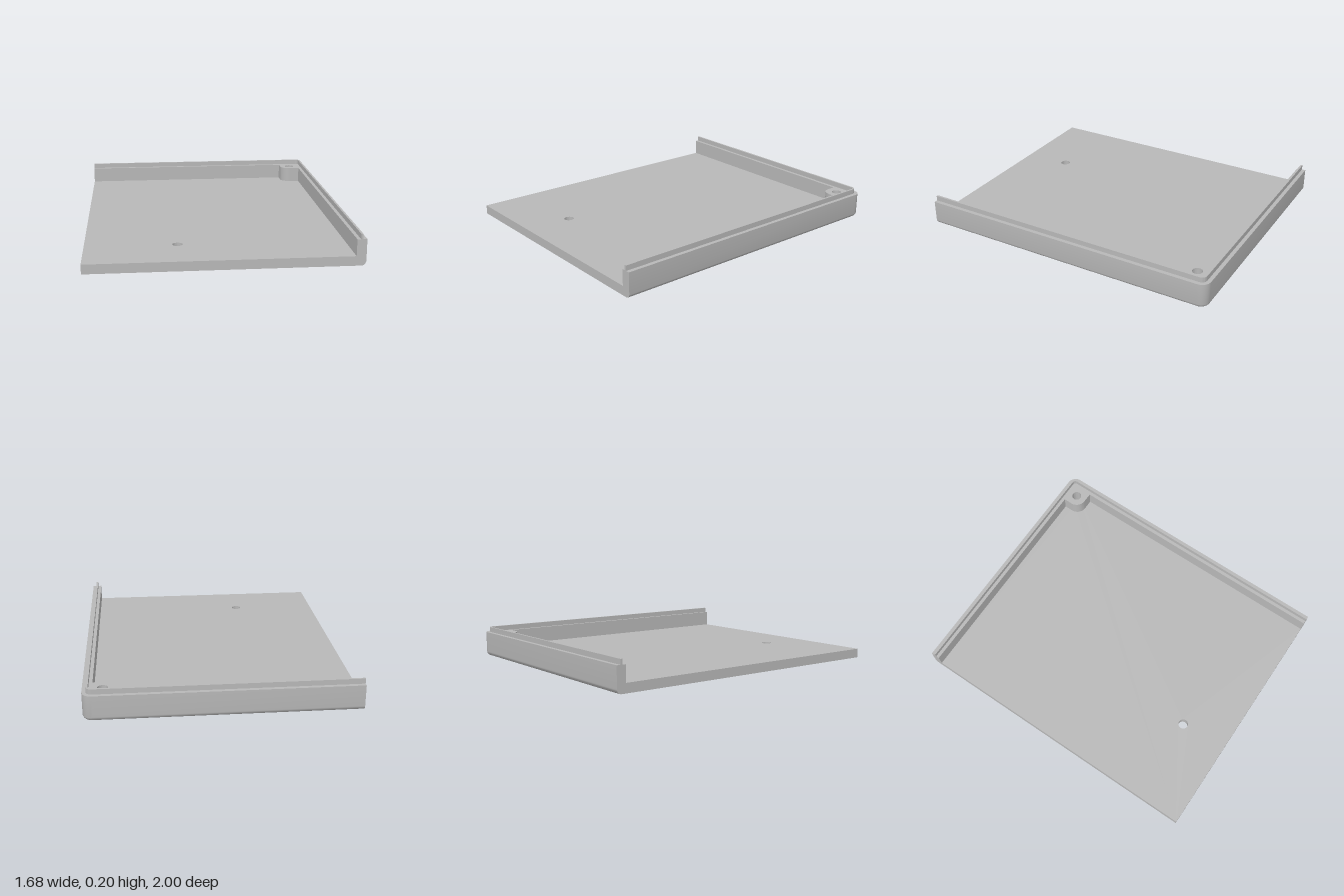
import * as THREE from 'three';
import { toCreasedNormals } from 'three/addons/utils/BufferGeometryUtils.js';

const W = 0.84, D = 1;            // half width and half depth
const WALL = 0.06, FLOOR = 0.06;  // wall and floor thickness
const WALL_TOP = 0.165, LIP_TOP = 0.198;
const COUNTERBORE = 0.04;         // depth of the screw-head recess
const IN_X = W - WALL, IN_Z = -D + WALL;
const CORNER_SCREW = [0.718, -0.884], FLOOR_SCREW = [-0.265, 0.685];
const HOLE = 0.032, HEAD = 0.052;

// Plan outline of the wall path, moved inwards by d: along the back, round the corner, along the side
function wallPath(d) {
  const pts = [[-W, -D + d]];
  for (let i = 0; i <= 10; i++) {
    const a = (i / 10) * Math.PI / 2, r = WALL - d;
    pts.push([IN_X + r * Math.sin(a), IN_Z - r * Math.cos(a)]);
  }
  pts.push([W - d, D]);
  return pts;
}

// Sweep the wall section [inset, y] along the path and cap both ends
function wallGeometry() {
  const section = [[WALL, 0]];
  const r = 0.03;
  for (let i = 0; i <= 8; i++) {
    const a = (i / 8) * Math.PI / 2;
    section.push([r - r * Math.sin(a), r - r * Math.cos(a)]);
  }
  section.push([0, WALL_TOP], [0.025, WALL_TOP], [0.025, LIP_TOP],
    [0.038, LIP_TOP], [0.038, WALL_TOP], [WALL, WALL_TOP]);

  const rails = section.map(([d, y]) => wallPath(d).map(([x, z]) => [x, y, z]));
  const n = rails.length, last = rails[0].length - 1;
  const pos = [];
  const tri = (a, b, c) => pos.push(...a, ...b, ...c);
  for (let j = 0; j < n; j++) {
    const p = rails[j], q = rails[(j + 1) % n];
    for (let i = 0; i < last; i++) {
      tri(p[i], q[i], p[i + 1]);
      tri(q[i], q[i + 1], p[i + 1]);
    }
  }
  const flat = section.map(([d, y]) => new THREE.Vector2(-d, y));
  for (const [a, b, c] of THREE.ShapeUtils.triangulateShape(flat, [])) {
    tri(rails[a][last], rails[b][last], rails[c][last]);
    tri(rails[a][0], rails[c][0], rails[b][0]);
  }
  const g = new THREE.BufferGeometry();
  g.setAttribute('position', new THREE.Float32BufferAttribute(pos, 3));
  return toCreasedNormals(g, 0.5);
}

// Extrude a plan shape (shape y is -z) upwards, with round holes [x, z, radius]
function plate(shape, y0, y1, holes) {
  for (const [x, z, r] of holes) {
    shape.holes.push(new THREE.Path().absarc(x, -z, r, 0, Math.PI * 2, true));
  }
  const g = new THREE.ExtrudeGeometry(shape, { depth: y1 - y0, bevelEnabled: false, curveSegments: 16 });
  g.rotateX(-Math.PI / 2).translate(0, y0, 0);
  return toCreasedNormals(g, 0.5);
}

function floorShape() {
  return new THREE.Shape([[-W, -D], [IN_X, -D], [IN_X, -IN_Z], [-W, -IN_Z]]
    .map(([x, y]) => new THREE.Vector2(x, y)));
}

// Screw boss filling the inner corner, with one rounded edge
function bossShape() {
  const x0 = 0.645, y0 = 0.812, r = 0.068;
  const s = new THREE.Shape();
  s.moveTo(IN_X, y0);
  s.lineTo(IN_X, -IN_Z);
  s.lineTo(x0, -IN_Z);
  s.lineTo(x0, y0 + r);
  s.absarc(x0 + r, y0 + r, r, Math.PI, Math.PI * 1.5, false);
  s.closePath();
  return s;
}

export function createModel() {
  const group = new THREE.Group();
  group.name = 'caseCorner';
  const grey = new THREE.MeshStandardMaterial({ color: 0xb8b8b8 });
  grey.name = 'plain grey';
  const add = (name, geometry) => {
    const mesh = new THREE.Mesh(geometry, grey);
    mesh.name = name;
    group.add(mesh);
  };

  // Wall with rounded bottom edge and raised lip
  add('wallWithLip', wallGeometry());
  // Floor in two layers so the corner hole is counterbored from below
  add('floorLower', plate(floorShape(), 0, COUNTERBORE, [[...CORNER_SCREW, HEAD], [...FLOOR_SCREW, HOLE]]));
  add('floorUpper', plate(floorShape(), COUNTERBORE, FLOOR, [[...CORNER_SCREW, HOLE], [...FLOOR_SCREW, HOLE]]));
  add('screwBoss', plate(bossShape(), FLOOR, WALL_TOP, [[...CORNER_SCREW, HOLE]]));
  return group;
}
